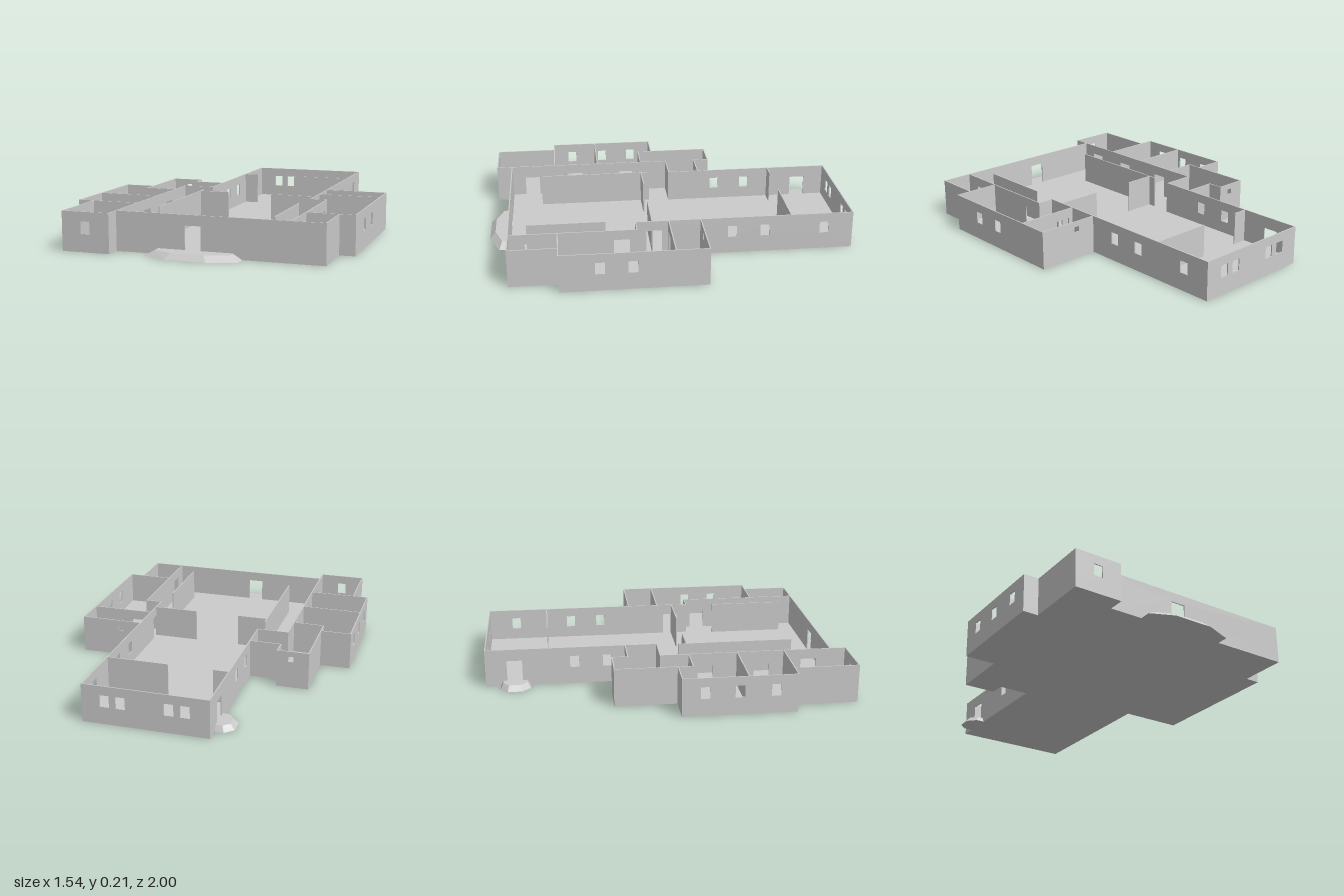
import * as THREE from 'three';

const H = 0.21, FLOOR = 0.03, T = 0.006;
const material = new THREE.MeshStandardMaterial({ color: 0xcccccc, flatShading: true });

// Upright slab from a plan outline given as [x, z] points
function planSlab(points, height) {
  const shape = new THREE.Shape(points.map(([x, z]) => new THREE.Vector2(x, -z)));
  const geo = new THREE.ExtrudeGeometry(shape, { depth: height, bevelEnabled: false });
  return geo.rotateX(-Math.PI / 2);
}

// Porch step whose top edge is drawn in towards a point on the house wall
function porch(points, cx, cz, sx, sz) {
  const geo = planSlab(points, FLOOR);
  const p = geo.attributes.position;
  for (let i = 0; i < p.count; i++) {
    if (p.getY(i) < FLOOR / 2) continue;
    p.setX(i, cx + (p.getX(i) - cx) * sx);
    p.setZ(i, cz + (p.getZ(i) - cz) * sz);
  }
  geo.computeVertexNormals();
  return geo;
}

// Openings: [centre along wall, width, bottom, top]
const win = (c) => [c, 0.05, 0.095, 0.16];
const vent = (c) => [c, 0.03, 0.15, 0.18];
const door = (c, top = 0.155) => [c, 0.085, FLOOR, top];

// Thin wall along x (axis 'x', at z = at) or along z (axis 'z', at x = at)
function wall(axis, at, from, to, openings = []) {
  const a = from - T / 2, b = to + T / 2;
  const shape = new THREE.Shape();
  shape.moveTo(a, 0).lineTo(b, 0).lineTo(b, H).lineTo(a, H).closePath();
  for (const [c, w, y0, y1] of openings) {
    const hole = new THREE.Path();
    hole.moveTo(c - w / 2, y0).lineTo(c - w / 2, y1);
    hole.lineTo(c + w / 2, y1).lineTo(c + w / 2, y0).closePath();
    shape.holes.push(hole);
  }
  const geo = new THREE.ExtrudeGeometry(shape, { depth: T, bevelEnabled: false });
  if (axis === 'x') geo.translate(0, 0, at - T / 2);
  else geo.rotateY(-Math.PI / 2).translate(at + T / 2, 0, 0);
  return geo;
}

export function createModel() {
  const model = new THREE.Group();
  model.name = 'rooflessHouse';
  const add = (name, geo, parent = model) => {
    const mesh = new THREE.Mesh(geo, material);
    mesh.name = name;
    parent.add(mesh);
  };

  // Floor follows the whole outline of the house
  add('floor', planSlab([
    [-0.25, -0.997], [0.42, -0.997], [0.42, -0.155], [0.767, -0.155], [0.767, 0.62],
    [0.683, 0.62], [0.683, 0.88], [-0.425, 0.88], [-0.425, 0.97], [-0.683, 0.97],
    [-0.683, 0.623], [-0.767, 0.623], [-0.767, 0.02], [-0.598, 0.02], [-0.598, -0.315],
    [-0.425, -0.315], [-0.425, -0.23], [-0.25, -0.23],
  ], FLOOR));

  // Porch steps at the two outside doors
  add('frontPorch', porch([[-0.24, 0.88], [-0.24, 0.945], [-0.11, 1], [0.11, 1],
    [0.26, 0.945], [0.26, 0.88]], 0.01, 0.88, 0.8, 0.75));
  add('sidePorch', porch([[-0.25, -0.92], [-0.3, -0.92], [-0.345, -0.88], [-0.345, -0.8],
    [-0.3, -0.755], [-0.25, -0.755]], -0.25, -0.8375, 0.75, 0.8));

  const outer = new THREE.Group();
  outer.name = 'outerWalls';
  const inner = new THREE.Group();
  inner.name = 'innerWalls';
  model.add(outer, inner);

  // Outside walls with windows and doors
  [
    ['backWall', 'x', -0.997, -0.25, 0.42, [-0.125, -0.04, 0.215, 0.3].map(win)],
    ['hallLeftWall', 'z', 0.42, -0.997, 0.2, [win(-0.84), win(-0.51), win(-0.33), door(0.1)]],
    ['hallRightWall', 'z', -0.25, -0.997, -0.055, [door(-0.84, 0.145), win(-0.51), win(-0.33)]],
    ['frontWall', 'x', 0.88, -0.425, 0.683, [door(-0.002)]],
    ['leftRoomBackWall', 'x', -0.155, 0.42, 0.767, [vent(0.54)]],
    ['leftRoomSideWall', 'z', 0.767, -0.155, 0.62, [win(0.24), win(0.41)]],
    ['leftRoomFrontWall', 'x', 0.62, 0.51, 0.767],
    ['leftClosetSideWall', 'z', 0.683, 0.62, 0.88],
    ['rightFrontRoomFrontWall', 'x', 0.967, -0.683, -0.425, [win(-0.555)]],
    ['rightFrontRoomSideWall', 'z', -0.683, 0.623, 0.967],
    ['rightRoomFrontWall', 'x', 0.623, -0.767, -0.425],
    ['rightRoomSideWall', 'z', -0.767, 0.02, 0.623, [0.14, 0.32, 0.51].map(win)],
    ['rightRoomBackWall', 'x', 0.02, -0.767, -0.598],
    ['rightBackRoomSideWall', 'z', -0.598, -0.315, 0.1],
    ['rightBackRoomBackWall', 'x', -0.315, -0.598, -0.425, [vent(-0.5)]],
    ['rightBackRoomInnerSideWall', 'z', -0.425, -0.315, -0.23],
    ['passageBackWall', 'x', -0.23, -0.425, -0.25],
  ].forEach(([name, ...spec]) => add(name, wall(...spec), outer));

  // Inside walls and free-standing partitions
  [
    ['rightRoomsWall', 'z', -0.425, -0.055, 0.967, [door(0.19), door(0.5), door(0.76)]],
    ['leftRoomsWall', 'z', 0.51, 0.2, 0.88, [door(0.28), door(0.75)]],
    ['leftRoomsReturn', 'x', 0.2, 0.42, 0.51],
    ['leftRoomDivider', 'x', 0.02, 0.42, 0.767, [door(0.49)]],
    ['rightRoomDivider', 'x', 0.365, -0.767, -0.425],
    ['rightBackRoomFrontWall', 'x', 0.1, -0.598, -0.425],
    ['passageFrontWall', 'x', -0.055, -0.425, -0.25],
    ['backPartitionRight', 'x', -0.655, -0.25, -0.168],
    ['backPartitionLeft', 'x', -0.655, 0.083, 0.42],
    ['middlePartitionRight', 'x', 0.11, -0.26, -0.093],
    ['middlePartitionLeft', 'x', 0.11, 0.168, 0.42],
    ['rightCorridorPartition', 'z', -0.262, 0.067, 0.7],
    ['leftCorridorPartition', 'z', 0.398, 0.363, 0.782],
  ].forEach(([name, ...spec]) => add(name, wall(...spec), inner));

  return model;
}
